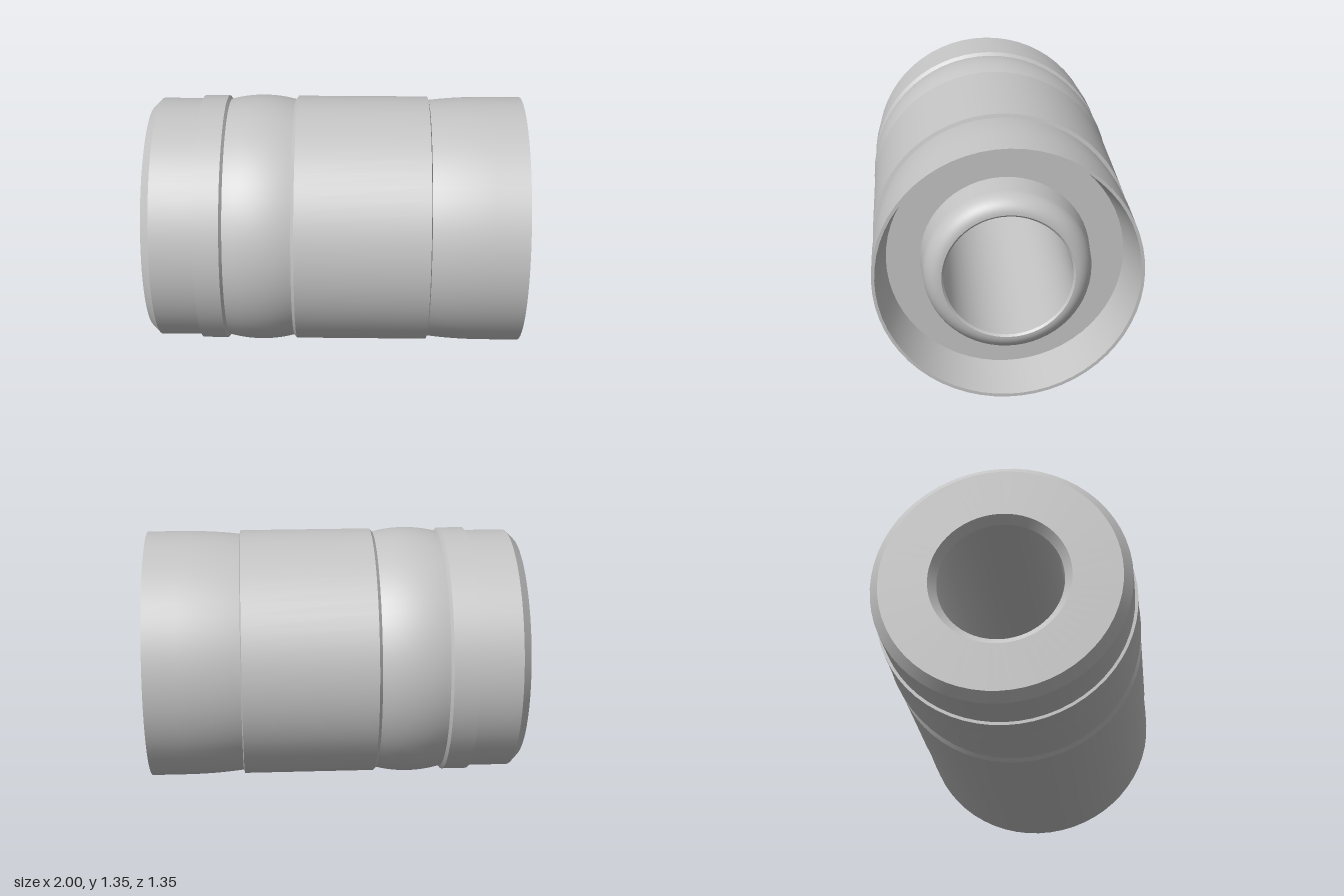
import * as THREE from 'three';

const SEGMENTS = 60;
const AXIS_HEIGHT = 0.677;

// Points on an arc-like bulge from a to b, each given as [x, radius]
function curve(a, control, b, n = 10) {
  const c = new THREE.QuadraticBezierCurve(
    new THREE.Vector2(...a), new THREE.Vector2(...control), new THREE.Vector2(...b));
  return c.getPoints(n).map(p => [p.x, p.y]);
}

// Elliptical quarter round from (x0, r0) forward and inward to (x1, r1)
function quarterRound(x0, r0, x1, r1, n = 12) {
  return Array.from({ length: n + 1 }, (_, i) => {
    const t = (i / n) * Math.PI / 2;
    return [x0 + (x1 - x0) * Math.sin(t), r1 + (r0 - r1) * Math.cos(t)];
  });
}

export function createModel() {
  const metal = new THREE.MeshStandardMaterial({ color: 0xc4c4c4 });
  metal.name = 'grey metal';

  const group = new THREE.Group();
  group.name = 'sleeve';

  // One smooth band of revolution around the x axis; band borders stay sharp
  function band(name, points) {
    const profile = points.map(([x, r]) => new THREE.Vector2(r, x));
    const geometry = new THREE.LatheGeometry(profile, SEGMENTS);
    geometry.rotateZ(-Math.PI / 2);
    const mesh = new THREE.Mesh(geometry, metal);
    mesh.name = name;
    mesh.position.y = AXIS_HEIGHT;
    group.add(mesh);
  }

  // Outer wall, from the closed end to the open end
  band('endChamfer', [[-1, 0.61], [-0.955, 0.656]]);
  band('endCollar', [[-0.955, 0.656], [-0.725, 0.656]]);
  band('ringStep', [[-0.725, 0.656], [-0.725, 0.672]]);
  band('ring', [[-0.725, 0.672], [-0.592, 0.672]]);
  band('ringBevel', [[-0.592, 0.672], [-0.578, 0.654]]);
  band('domedBand', curve([-0.578, 0.654], [-0.4, 0.7], [-0.226, 0.654], 14));
  band('bodyBevel', [[-0.226, 0.654], [-0.21, 0.672]]);
  band('body', [[-0.21, 0.672], [0.495, 0.672]]);
  band('bodyStep', [[0.495, 0.672], [0.5, 0.653]]);
  band('skirt', [...curve([0.5, 0.653], [0.65, 0.672], [0.82, 0.672]), [1, 0.672]]);

  // Open end: rim, tapered recess and its floor
  band('rim', [[1, 0.672], [1, 0.656]]);
  band('recessWall', [[1, 0.656], [0.75, 0.602]]);
  band('recessFloor', [[0.75, 0.602], [0.75, 0.43]]);

  // Central hub with a rounded nose
  band('hub', [[0.75, 0.43], [0.89, 0.42]]);
  band('hubNose', quarterRound(0.89, 0.42, 1, 0.33));
  band('boreLip', [[1, 0.33], [0.99, 0.32]]);

  // Through bore and closed end face
  band('bore', [[0.99, 0.32], [-0.96, 0.32]]);
  band('boreCountersink', [[-0.96, 0.32], [-1, 0.36]]);
  band('endFace', [[-1, 0.36], [-1, 0.61]]);

  return group;
}
